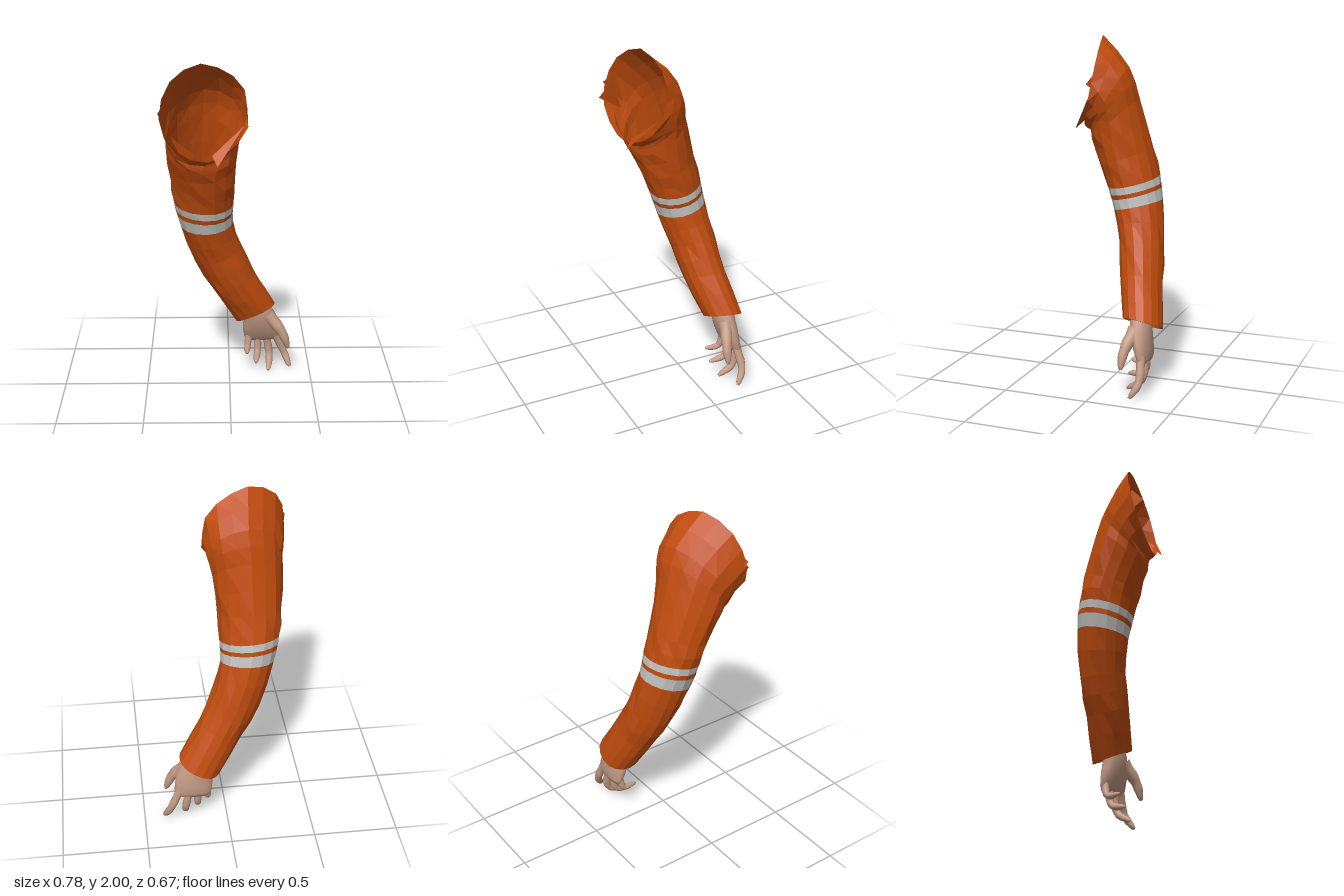
import * as THREE from 'three';

const SIDES = 16;
const V = (p) => new THREE.Vector3(...p);
let seed = 7;
const rand = () => ((seed = (seed * 16807) % 2147483647) / 2147483647) * 2 - 1;

// One oval ring: centre, sideways half axis, forward half axis
function ring(c, x, f, sides, wobble = 0) {
  return Array.from({ length: sides }, (_, j) => {
    const a = (j / sides) * Math.PI * 2;
    const k = 1 + wobble * rand();
    return c.clone().addScaledVector(x, Math.cos(a) * k).addScaledVector(f, Math.sin(a) * k);
  });
}

// Skin over a run of rings, optionally closed at the last ring
function loft(rings, flat, cap = false) {
  const n = rings[0].length, idx = [];
  for (let i = 0; i < rings.length - 1; i++) {
    for (let j = 0; j < n; j++) {
      const a = i * n + j, b = i * n + ((j + 1) % n);
      idx.push(a, b, a + n, b, b + n, a + n);
    }
  }
  if (cap) {
    const base = (rings.length - 1) * n;
    for (let j = 1; j < n - 1; j++) idx.push(base, base + j, base + j + 1);
  }
  let g = new THREE.BufferGeometry().setFromPoints(rings.flat());
  g.setIndex(idx);
  if (flat) g = g.toNonIndexed();
  g.computeVertexNormals();
  return g;
}

// Finger swept through its joints, with slight knuckles and a rounded tip
function finger(joints, r0, r1) {
  const curve = new THREE.CatmullRomCurve3(joints.map(V));
  const steps = 10, rings = [];
  for (let i = 0; i <= steps; i++) {
    const t = i / steps, T = curve.getTangent(t);
    const X = new THREE.Vector3(1, 0, 0).addScaledVector(T, -T.x).normalize();
    const F = T.clone().cross(X);
    const tip = i === steps ? 0.45 : i === steps - 1 ? 0.88 : 1;
    const r = (r0 + (r1 - r0) * t) * tip * (1 + 0.06 * Math.cos(t * Math.PI * 6));
    rings.push(ring(curve.getPoint(t), X.multiplyScalar(r), F.multiplyScalar(r), 10));
  }
  return loft(rings, false, true);
}

export function createModel() {
  const model = new THREE.Group();
  model.name = 'sleevedArm';
  const mat = (name, color, side = THREE.FrontSide) => {
    const m = new THREE.MeshStandardMaterial({ color, side });
    m.name = name;
    return m;
  };
  const orange = mat('orangeCloth', 0xc04c0e, THREE.DoubleSide);
  const silver = mat('silverTape', 0xc2c2c0, THREE.DoubleSide);
  const skin = mat('skin', 0xc29a84);
  const add = (name, geometry, material, parent = model) => {
    const m = new THREE.Mesh(geometry, material);
    m.name = name;
    parent.add(m);
  };

  // Sleeve sections from the open shoulder to the cuff: centre, side axis, front axis
  const sections = [
    [[-0.14, 1.74, 0.2], [0.245, 0.01, -0.08], [0.02, -0.26, 0.05]],
    [[-0.145, 1.635, 0.1], [0.222, 0.01, -0.05], [0, -0.19, 0.12]],
    [[-0.155, 1.52, 0.065], [0.2, 0, -0.03], [0, -0.125, 0.145]],
    [[-0.16, 1.3, -0.005], [0.185, 0, 0], [0, -0.05, 0.152]],
    [[-0.152, 1.155, -0.05], [0.175, -0.01, 0], [0, -0.035, 0.15]],
    [[-0.137, 1.02, -0.083], [0.157, 0.005, 0], [0, -0.035, 0.143]],
    [[-0.065, 0.8, -0.13], [0.138, 0.05, 0], [0, -0.01, 0.133]],
    [[0.03, 0.61, -0.165], [0.125, 0.055, 0], [0, 0, 0.125]],
    [[0.16, 0.385, -0.22], [0.12, 0.055, 0], [0, 0.015, 0.112]],
  ];
  const last = sections.length - 1;
  const curves = [0, 1, 2].map((k) => new THREE.CatmullRomCurve3(sections.map((s) => V(s[k])), false, 'catmullrom'));
  const sleeveRing = (u) => {
    const [c, x, f] = curves.map((curve) => curve.getPoint(u / last));
    return ring(c, x, f, SIDES, u >= 4 && u <= 5 ? 0.01 : 0.035);
  };
  const stations = [0, 0.5, 1, 1.5, 2, 2.5, 3, 3.5, 4, 4.33, 4.55, 5, 5.5, 6, 6.5, 7, 7.5, 8];
  const sleeve = stations.map(sleeveRing);

  // Cuff hem folded inwards
  const cuff = V(sections[last][0]);
  [[0.83, 0], [0.78, 0.05]].forEach(([k, lift]) => {
    const shift = new THREE.Vector3(-0.5 * lift, lift, 0.2 * lift);
    sleeve.push(sleeve[stations.length - 1].map((p) => cuff.clone().lerp(p, k).add(shift)));
  });
  [
    ['upperSleeve', 0, 8, orange],
    ['upperStripe', 8, 9, silver],
    ['stripeGap', 9, 10, orange],
    ['lowerStripe', 10, 11, silver],
    ['lowerSleeve', 11, sleeve.length - 1, orange],
  ].forEach(([name, from, to, m]) => add(name, loft(sleeve.slice(from, to + 1), true), m));

  // Ragged cloth flaps around the shoulder opening
  const flaps = [
    [-0.36, 1.6, 0.19], [-0.34, 1.69, 0.335], [-0.33, 1.79, 0.25],
    [-0.36, 1.64, 0.18], [-0.395, 1.76, 0.285], [-0.33, 1.84, 0.23],
    [-0.33, 1.62, 0.24], [-0.24, 1.43, 0.21], [-0.2, 1.52, 0.25],
    [0.08, 1.66, 0.15], [-0.07, 1.46, 0.29], [-0.1, 1.51, 0.24],
  ];
  const flapGeometry = new THREE.BufferGeometry().setFromPoints(flaps.map(V));
  flapGeometry.computeVertexNormals();
  add('shoulderFlaps', flapGeometry, orange);

  // Palm from wrist to knuckles: centre, half width, sideways rise, half depth
  const hand = new THREE.Group();
  hand.name = 'hand';
  model.add(hand);
  const palm = [
    [0.15, 0.46, -0.21, 0.072, 0.035, 0.058],
    [0.18, 0.38, -0.215, 0.085, 0.03, 0.062],
    [0.193, 0.32, -0.225, 0.108, 0.02, 0.058],
    [0.2, 0.26, -0.238, 0.113, 0.01, 0.05],
    [0.207, 0.21, -0.25, 0.112, 0.005, 0.038],
    [0.21, 0.182, -0.256, 0.1, 0.005, 0.022],
  ].map(([x, y, z, w, rise, d]) => ring(V([x, y, z]), V([w, rise, 0]), V([0, 0, d]), 18));
  add('palm', loft(palm, false, true), skin, hand);

  // Curled fingers and thumb: base, middle joint, tip, then the two radii
  [
    ['indexFinger', [[0.28, 0.23, -0.25], [0.345, 0.09, -0.26], [0.38, 0.008, -0.215]], 0.027, 0.018],
    ['middleFinger', [[0.23, 0.22, -0.256], [0.252, 0.08, -0.248], [0.243, 0.014, -0.155]], 0.026, 0.018],
    ['ringFinger', [[0.18, 0.22, -0.254], [0.177, 0.105, -0.235], [0.165, 0.075, -0.135]], 0.025, 0.017],
    ['littleFinger', [[0.125, 0.23, -0.245], [0.114, 0.142, -0.22], [0.11, 0.14, -0.135]], 0.024, 0.015],
    ['thumb', [[0.24, 0.37, -0.2], [0.325, 0.265, -0.165], [0.365, 0.165, -0.155]], 0.042, 0.018],
  ].forEach(([name, joints, r0, r1]) => add(name, finger(joints, r0, r1), skin, hand));

  return model;
}
